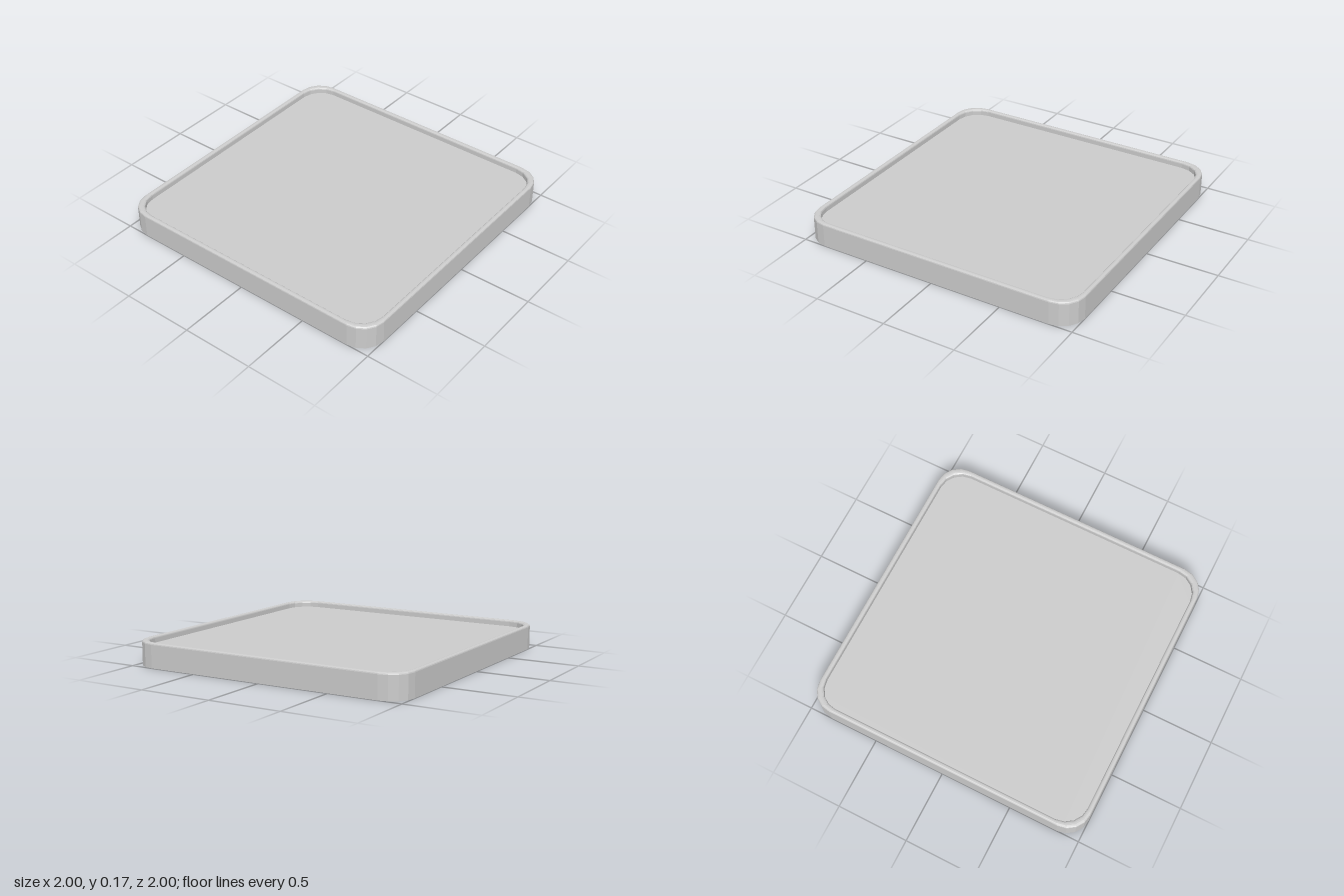
import * as THREE from 'three';

const SEGMENTS = 4; // facets per rounded corner

// Rounded-square outline, running from +x towards -z
function outline(half, radius) {
  const points = [];
  const centre = half - radius;
  for (let corner = 0; corner < 4; corner++) {
    const start = corner * Math.PI / 2;
    const cx = (corner === 0 || corner === 3 ? 1 : -1) * centre;
    const cz = (corner < 2 ? -1 : 1) * centre;
    for (let i = 0; i <= SEGMENTS; i++) {
      const a = start + (i / SEGMENTS) * Math.PI / 2;
      points.push([cx + radius * Math.cos(a), cz - radius * Math.sin(a)]);
    }
  }
  return points;
}

// Skin between successive outlines; each section is [half width, corner radius, height]
function loft(sections) {
  const positions = [];
  const index = [];
  const count = 4 * (SEGMENTS + 1);
  sections.forEach(([half, radius, y]) => {
    outline(half, radius).forEach(([x, z]) => positions.push(x, y, z));
  });
  for (let s = 0; s < sections.length - 1; s++) {
    for (let i = 0; i < count; i++) {
      const j = (i + 1) % count;
      const a = s * count + i, b = s * count + j;
      index.push(a, b, b + count, a, b + count, a + count);
    }
  }
  const geometry = new THREE.BufferGeometry();
  geometry.setAttribute('position', new THREE.Float32BufferAttribute(positions, 3));
  geometry.setIndex(index);
  geometry.computeVertexNormals();
  return geometry;
}

// Flat rounded-square panel facing up or down
function panel(half, radius, y, up) {
  const shape = new THREE.Shape(outline(half, radius).map(([x, z]) => new THREE.Vector2(x, -z)));
  const geometry = new THREE.ShapeGeometry(shape);
  geometry.rotateX(up ? -Math.PI / 2 : Math.PI / 2);
  geometry.translate(0, y, 0);
  return geometry;
}

export function createModel() {
  const group = new THREE.Group();
  const material = new THREE.MeshStandardMaterial({ color: 0xcccccc, flatShading: true });
  const add = (name, geometry) => {
    const mesh = new THREE.Mesh(geometry, material);
    mesh.name = name;
    group.add(mesh);
  };

  const height = 0.168, floorY = 0.125, inner = 0.966, bevel = 0.013;

  // Outer wall, rounded rim and inner wall as one profile
  const sections = [[1, 0.16, 0]];
  for (let i = 0; i <= 3; i++) {
    const a = (i / 3) * Math.PI / 2;
    sections.push([1 - bevel * (1 - Math.cos(a)), 0.16, height - bevel * (1 - Math.sin(a))]);
  }
  for (let i = 3; i >= 0; i--) {
    const a = (i / 3) * Math.PI / 2;
    sections.push([inner + bevel * (1 - Math.cos(a)), 0.16, height - bevel * (1 - Math.sin(a))]);
  }
  sections.push([inner, 0.16, floorY]);
  add('rim', loft(sections));

  // Recessed floor and underside
  add('floor', panel(inner, 0.16, floorY, true));
  add('underside', panel(1, 0.16, 0, false));
  return group;
}
